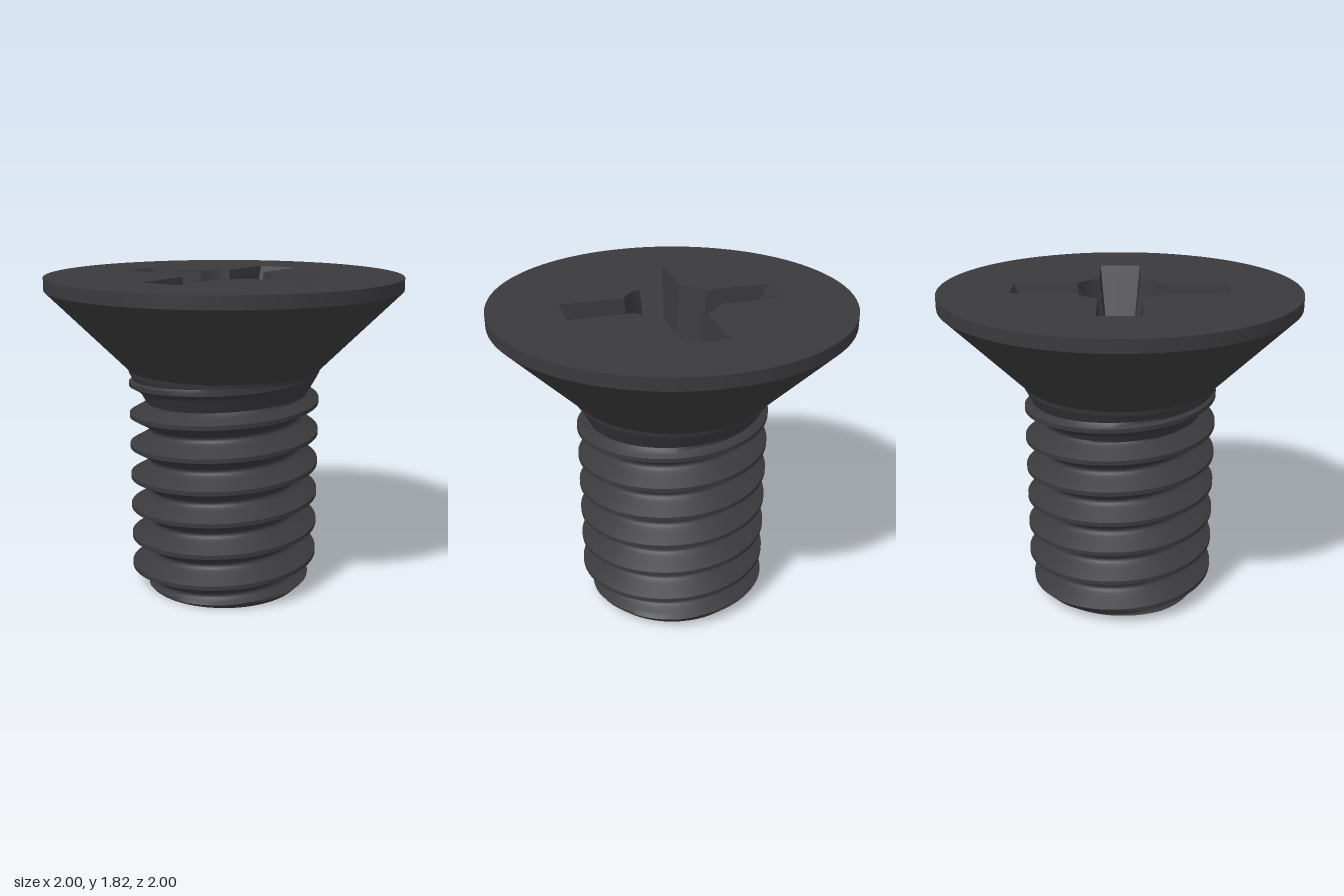
import * as THREE from 'three';
import { toCreasedNormals } from 'three/addons/utils/BufferGeometryUtils.js';

const SEG = 96;            // segments around the axis
const TOP = 1.82;          // top of the head
const PITCH = 0.182;
const CREST = 0.545;
const SHANK_TOP = 1.285;

const polar = (r, y, a) => [r * Math.cos(a), y, -r * Math.sin(a)];

// Skin between rows of points; faces point outward when rows run upward.
function loft(rows, crease) {
  const pos = [];
  const same = (p, q) => Math.hypot(p[0] - q[0], p[1] - q[1], p[2] - q[2]) < 1e-6;
  const tri = (a, b, c) => {
    if (!same(a, b) && !same(b, c) && !same(a, c)) pos.push(...a, ...b, ...c);
  };
  for (let j = 0; j < rows.length - 1; j++) {
    for (let i = 0; i < rows[j].length - 1; i++) {
      const a = rows[j][i], b = rows[j][i + 1], c = rows[j + 1][i + 1], d = rows[j + 1][i];
      tri(a, b, c);
      tri(a, c, d);
    }
  }
  const geo = new THREE.BufferGeometry();
  geo.setAttribute('position', new THREE.Float32BufferAttribute(pos, 3));
  // enlarged while creasing so that fine details are not merged
  geo.scale(100, 100, 100);
  return toCreasedNormals(geo, crease).scale(0.01, 0.01, 0.01);
}

const ring = (r, y) =>
  Array.from({ length: SEG + 1 }, (_, i) => polar(r, y, (i / SEG) * Math.PI * 2));

// Thread radius at height y and angle a: flat crest, straight flanks, round root.
function threadRadius(y, a) {
  const turns = (y - 0.19) / PITCH - a / (Math.PI * 2);
  const t = Math.abs(turns - Math.round(turns)) * PITCH;
  const slope = 1.73, flat = 0.012, rootStart = 0.063, half = PITCH / 2;
  let r = CREST - slope * Math.max(0, Math.min(t, rootStart) - flat);
  if (t > rootStart) {
    const u = (t - rootStart) / (half - rootStart);
    r -= slope * (half - rootStart) * (u - u * u / 2);
  }
  const runout = Math.min(CREST, 0.43 + (y - 1.07) * 0.55);
  return Math.min(Math.max(r, runout), 0.45 + y); // chamfered tip
}

// Threaded shank: profile rows follow the helix and are clamped at both ends.
function threadGeometry() {
  const steps = [-0.063, -0.05, -0.037, -0.025, -0.012, 0.012, 0.025, 0.037, 0.05, 0.063,
    0.07, 0.077, 0.084, 0.091, 0.098, 0.105, 0.112];
  const rows = [ring(0, 0)];
  for (let turn = -3; turn <= 7; turn++) {
    for (const s of steps) {
      const row = [];
      for (let i = 0; i <= SEG; i++) {
        const a = (i / SEG) * Math.PI * 2;
        const h = 0.19 + PITCH * (turn + i / SEG) + s;
        const y = THREE.MathUtils.clamp(h, 0, SHANK_TOP);
        row.push(polar(threadRadius(y, a), y, a));
      }
      rows.push(row);
    }
  }
  return loft(rows, 0.6);
}

// Cross outline: four arms of half width w and length l around a round core.
function crossOutline(w, l, core, y) {
  const pts = [];
  const inner = Math.asin(w / core);
  for (let k = 0; k < 4; k++) {
    const turn = k * Math.PI / 2;
    for (const v of [-w, 0, w]) pts.push(polar(Math.hypot(l, v), y, turn + Math.atan2(v, l)));
    for (let i = 0; i <= 6; i++) {
      pts.push(polar(core, y, turn + inner + (Math.PI / 2 - 2 * inner) * i / 6));
    }
  }
  pts.push(pts[0]);
  return pts;
}

export function createModel() {
  const group = new THREE.Group();
  const material = new THREE.MeshStandardMaterial({ color: 0x3a3a3d });
  const add = (name, geo) => {
    const mesh = new THREE.Mesh(geo, material);
    mesh.name = name;
    group.add(mesh);
  };

  add('threadedShank', threadGeometry());

  // Countersunk cone and thin rim
  add('headCone', loft([
    ring(CREST, SHANK_TOP - 0.005), ring(0.55, 1.3), ring(1, 1.75), ring(1, TOP),
  ], 0.5));

  // Flat top face with the cross-shaped opening
  const opening = crossOutline(0.118, 0.597, 0.264, TOP);
  const face = new THREE.Shape(ring(1, 0).slice(0, -1).map(p => new THREE.Vector2(p[0], -p[2])));
  face.holes.push(new THREE.Path(opening.slice(0, -1).map(p => new THREE.Vector2(p[0], -p[2]))));
  add('headFace', new THREE.ShapeGeometry(face).rotateX(-Math.PI / 2).translate(0, TOP, 0));

  // Driver recess: tapered walls, flat arm floors, conical centre
  const core = 0.22, floorY = TOP - 0.45;
  const bottom = crossOutline(0.072, 0.385, core, floorY);
  const coreEdge = bottom.map(([x, y, z]) => {
    const k = core / Math.hypot(x, z);
    return [x * k, y, z * k];
  });
  const apex = bottom.map(() => [0, floorY - 0.08, 0]);
  add('driverRecess', loft([opening, bottom, coreEdge, apex], 0.3));

  return group;
}
